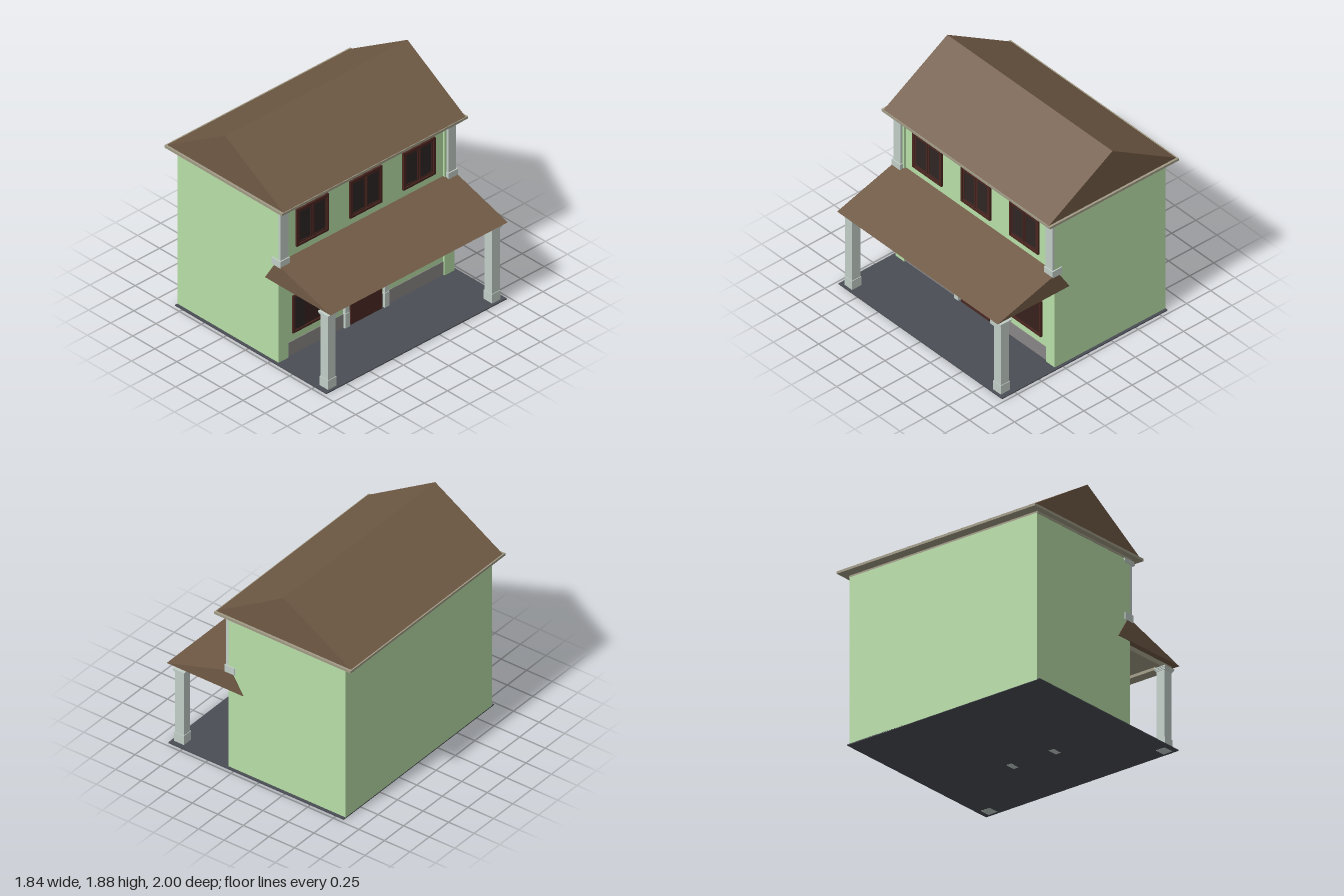
import * as THREE from 'three';

const mat = (color) => new THREE.MeshStandardMaterial({ color, flatShading: true });
const M = {
  wall: mat(0xb8dfa8), roof: mat(0x705a45), trim: mat(0xa09a85), column: mat(0xc2cec8),
  frame: mat(0x4a2620), pane: mat(0x38211d), glass: mat(0x2e2625), door: mat(0x4a2822),
  plinth: mat(0x888685), ground: mat(0x4a4d54),
};

export function createModel() {
  const house = new THREE.Group();
  house.name = 'house';

  // Box given by its limits along each axis
  const box = (parent, name, m, x0, x1, y0, y1, z0, z1) => {
    const mesh = new THREE.Mesh(new THREE.BoxGeometry(x1 - x0, y1 - y0, z1 - z0), m);
    mesh.position.set((x0 + x1) / 2, (y0 + y1) / 2, (z0 + z1) / 2);
    mesh.name = name;
    parent.add(mesh);
    return mesh;
  };
  const group = (name) => {
    const g = new THREE.Group();
    g.name = name;
    house.add(g);
    return g;
  };
  // Triangular prism running along z
  const prism = (name, points, halfLength) => {
    const shape = new THREE.Shape(points.map(([x, y]) => new THREE.Vector2(x, y)));
    const geo = new THREE.ExtrudeGeometry(shape, { depth: 2 * halfLength, bevelEnabled: false });
    geo.translate(0, 0, -halfLength);
    const mesh = new THREE.Mesh(geo, M.roof);
    mesh.name = name;
    house.add(mesh);
  };

  // Ground slab and walls, with corner strips in front of the facade
  box(house, 'groundSlab', M.ground, -0.83, 0.885, 0.001, 0.01, -0.97, 0.97);
  box(house, 'walls', M.wall, -0.83, 0.3, 0.005, 1.44, -0.945, 0.945);
  for (const s of [-1, 1]) {
    const [a, b] = [s * 0.84, s * 0.945].sort((p, q) => p - q);
    box(house, 'cornerStrip', M.wall, 0.29, 0.318, 0.005, 1.44, a, b);
  }
  box(house, 'plinth', M.plinth, 0.29, 0.306, 0.005, 0.135, -0.84, 0.84);

  // Main roof, eaves and brackets
  prism('mainRoof', [[-0.91, 1.475], [0.41, 1.475], [-0.25, 1.88]], 0.98);
  box(house, 'eaves', M.trim, -0.92, 0.415, 1.455, 1.476, -1, 1);
  box(house, 'cornice', M.trim, -0.83, 0.33, 1.437, 1.456, -0.95, 0.95);
  for (const z of [-0.9, -0.3, 0.3, 0.9]) {
    box(house, 'bracket', M.trim, 0.29, 0.385, 1.433, 1.456, z - 0.016, z + 0.016);
    box(house, 'bracketFoot', M.trim, 0.29, 0.35, 1.41, 1.434, z - 0.011, z + 0.011);
  }

  // Porch roof, ceiling and edge beams
  prism('porchRoof', [[0.17, 0.745], [0.915, 0.745], [0.291, 0.937]], 0.952);
  box(house, 'porchCeiling', M.trim, 0.29, 0.88, 0.73, 0.746, -0.9, 0.9);
  box(house, 'porchFrontBeam', M.trim, 0.78, 0.87, 0.705, 0.731, -0.9, 0.9);
  for (const z of [-0.875, 0.875]) {
    box(house, 'porchSideBeam', M.trim, 0.29, 0.79, 0.705, 0.731, z - 0.025, z + 0.025);
  }

  // Square column: base block, shaft and stepped capital
  const column = (name, x, z, w, d, y0, yBase, yCap, y1) => {
    const g = group(name);
    const part = (n, grow, a, b) => box(g, n, M.column,
      x - w / 2 - grow, x + w / 2 + grow, a, b, z - d / 2 - grow, z + d / 2 + grow);
    part('base', 0.005, y0, yBase);
    part('shaft', 0, yBase, yCap);
    const h = (y1 - yCap) / 3;
    [0.005, 0.01, 0.015].forEach((grow, i) => part('capital', grow, yCap + i * h, yCap + (i + 1) * h));
  };
  for (const s of [-1, 1]) {
    column('porchColumn', 0.813, s * 0.882, 0.086, 0.082, 0, 0.095, 0.675, 0.706);
    column('doorColumn', 0.283, s * 0.213, 0.08, 0.04, 0, 0.145, 0.68, 0.706);
    column('upperColumn', 0.295, s * 0.902, 0.088, 0.085, 0.91, 0.972, 1.405, 1.435);
    box(house, 'columnBlock', M.column, 0.25, 0.349, 0.91, 0.974, s * 0.904 - 0.051, s * 0.904 + 0.051);
    box(house, 'capitalSlab', M.column, 0.24, 0.37, 1.412, 1.422, s * 0.902 - 0.05, s * 0.902 + 0.05);
  }

  // Window: raised four-sided frame over a recessed pane
  const framed = (parent, z0, z1, y0, y1, x, t) => {
    box(parent, 'frame', M.frame, 0.29, x, y0, y0 + t, z0, z1);
    box(parent, 'frame', M.frame, 0.29, x, y1 - t, y1, z0, z1);
    box(parent, 'frame', M.frame, 0.29, x, y0 + t, y1 - t, z0, z0 + t);
    box(parent, 'frame', M.frame, 0.29, x, y0 + t, y1 - t, z1 - t, z1);
  };
  for (const z of [-0.573, 0, 0.573]) {
    const g = group('upperWindow');
    framed(g, z - 0.172, z + 0.172, 1.003, 1.348, 0.318, 0.02);
    box(g, 'backing', M.pane, 0.29, 0.304, 1.02, 1.33, z - 0.155, z + 0.155);
    for (const s of [-1, 1]) {
      framed(g, z + s * 0.078 - 0.073, z + s * 0.078 + 0.073, 1.025, 1.326, 0.311, 0.014);
      box(g, 'glass', M.glass, 0.29, 0.307, 1.035, 1.315, z + s * 0.078 - 0.06, z + s * 0.078 + 0.06);
    }
  }
  for (const z of [-0.514, 0.522]) {
    const g = group('lowerWindow');
    framed(g, z - 0.264, z + 0.264, 0.21, 0.556, 0.318, 0.02);
    box(g, 'pane', M.pane, 0.29, 0.306, 0.225, 0.54, z - 0.25, z + 0.25);
    box(g, 'sideGlass', M.glass, 0.29, 0.31, 0.23, 0.536, z + 0.13, z + 0.244);
  }

  // Front door
  box(house, 'door', M.door, 0.29, 0.318, 0.005, 0.44, -0.167, 0.167);

  return house;
}
